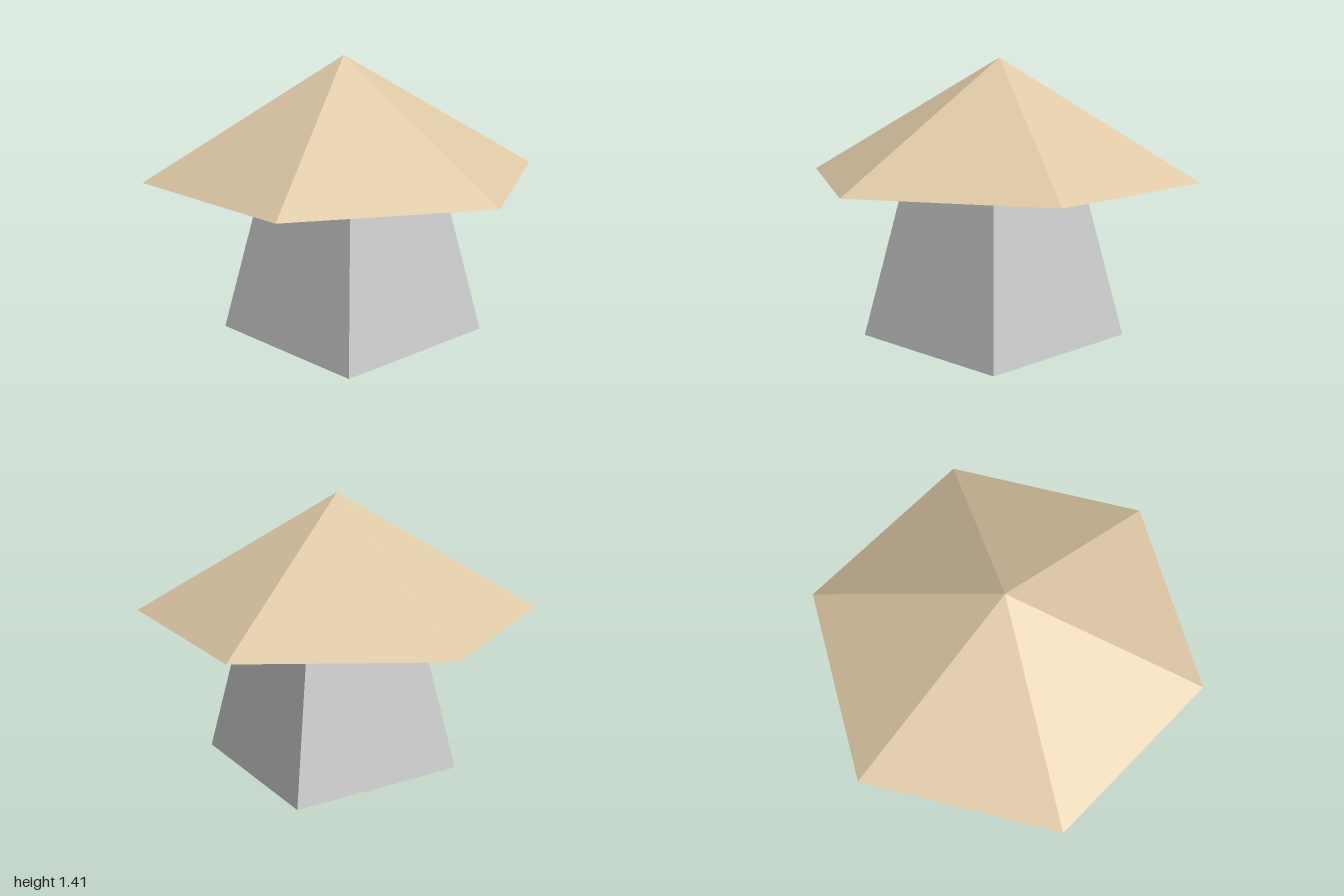
import * as THREE from 'three';

const EAVES = 0.82;

export function createModel() {
  const group = new THREE.Group();
  const wallMaterial = new THREE.MeshStandardMaterial({ color: 0xcccccc, flatShading: true });
  const roofMaterial = new THREE.MeshStandardMaterial({ color: 0xddc7a4, flatShading: true });

  // Square tapered body, turned so its sides face the axes and set slightly off centre
  const body = new THREE.Mesh(
    new THREE.CylinderGeometry(0.313 * Math.SQRT2, 0.467 * Math.SQRT2, EAVES, 4, 1, false, Math.PI / 4),
    wallMaterial
  );
  body.name = 'body';
  body.position.set(0.01, EAVES / 2, 0.052);
  group.add(body);

  // Six-sided pointed roof, with corners at front and back
  const roofHeight = 0.59;
  const roof = new THREE.Mesh(new THREE.ConeGeometry(1, roofHeight, 6), roofMaterial);
  roof.name = 'roof';
  roof.position.y = EAVES + roofHeight / 2;
  group.add(roof);

  return group;
}
